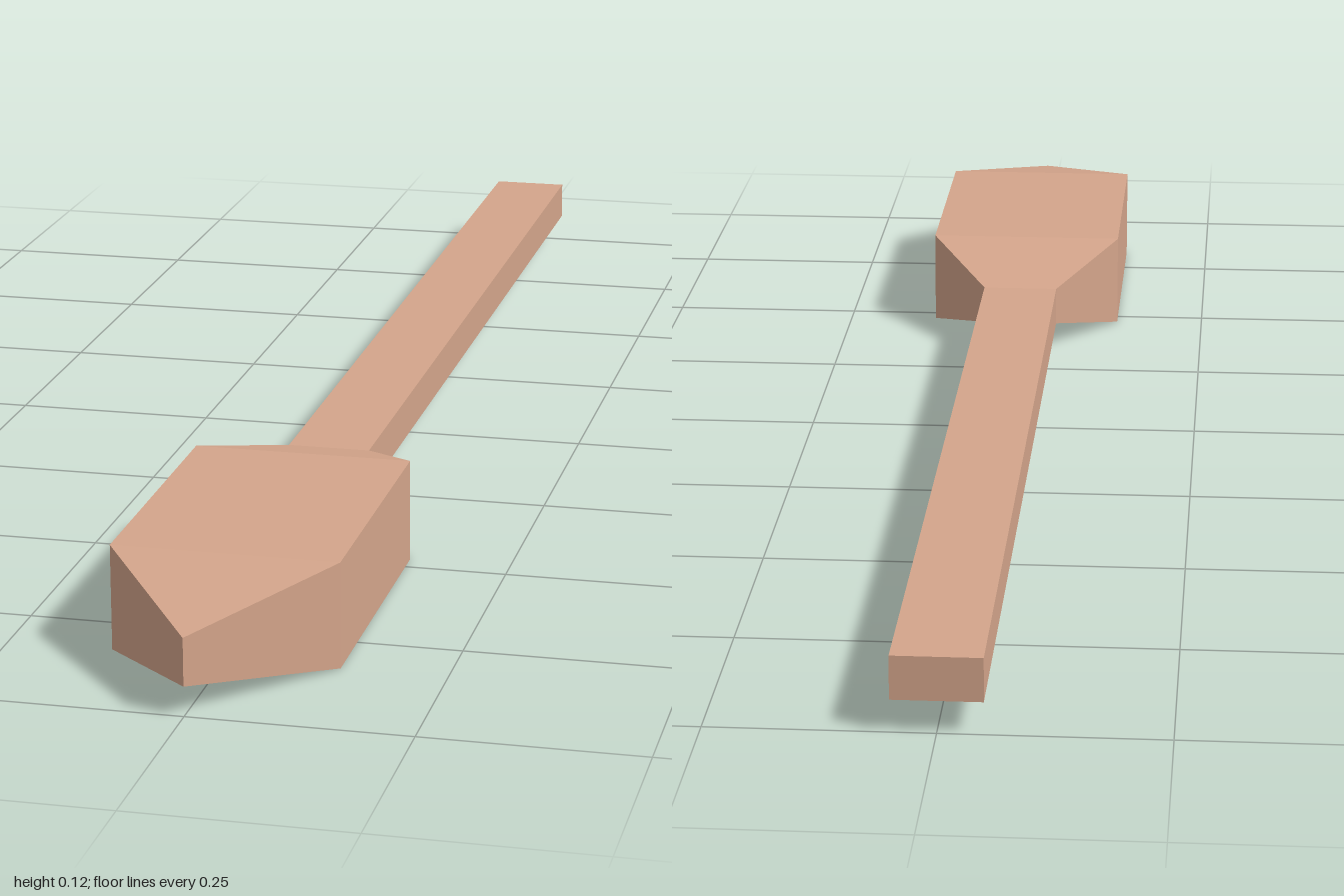
import * as THREE from 'three';

// Lofts rectangular sections [z, halfWidth, yLow, yHigh] listed from back to front.
function loft(sections, capBack) {
  const rings = sections.map(([z, w, lo, hi]) => [[-w, lo, z], [w, lo, z], [w, hi, z], [-w, hi, z]]);
  const positions = [];
  const quad = (a, b, c, d) => positions.push(...a, ...b, ...c, ...a, ...c, ...d);
  for (let s = 0; s < rings.length - 1; s++) {
    const back = rings[s], front = rings[s + 1];
    for (let i = 0; i < 4; i++) {
      const j = (i + 1) % 4;
      quad(back[i], back[j], front[j], front[i]);
    }
  }
  if (capBack) quad(...[...rings[0]].reverse());
  const geometry = new THREE.BufferGeometry();
  geometry.setAttribute('position', new THREE.Float32BufferAttribute(positions, 3));
  geometry.computeVertexNormals();
  return geometry;
}

export function createModel() {
  const group = new THREE.Group();
  group.name = 'paddle';

  const wood = new THREE.MeshStandardMaterial({ color: 0xd4a58b });
  wood.name = 'pale wood';

  const add = (name, geometry) => {
    const mesh = new THREE.Mesh(geometry, wood);
    mesh.name = name;
    group.add(mesh);
  };

  // Long straight handle
  add('handle', loft([[-1, 0.05, 0.037, 0.087], [0.342, 0.05, 0.037, 0.087]], true));

  // Head: flared neck, straight body, wedge tip ending in a vertical edge
  add('head', loft([
    [0.342, 0.05, 0.037, 0.087],
    [0.475, 0.13, 0, 0.123],
    [0.83, 0.13, 0, 0.123],
    [1, 0, 0.034, 0.089],
  ], false));

  return group;
}
